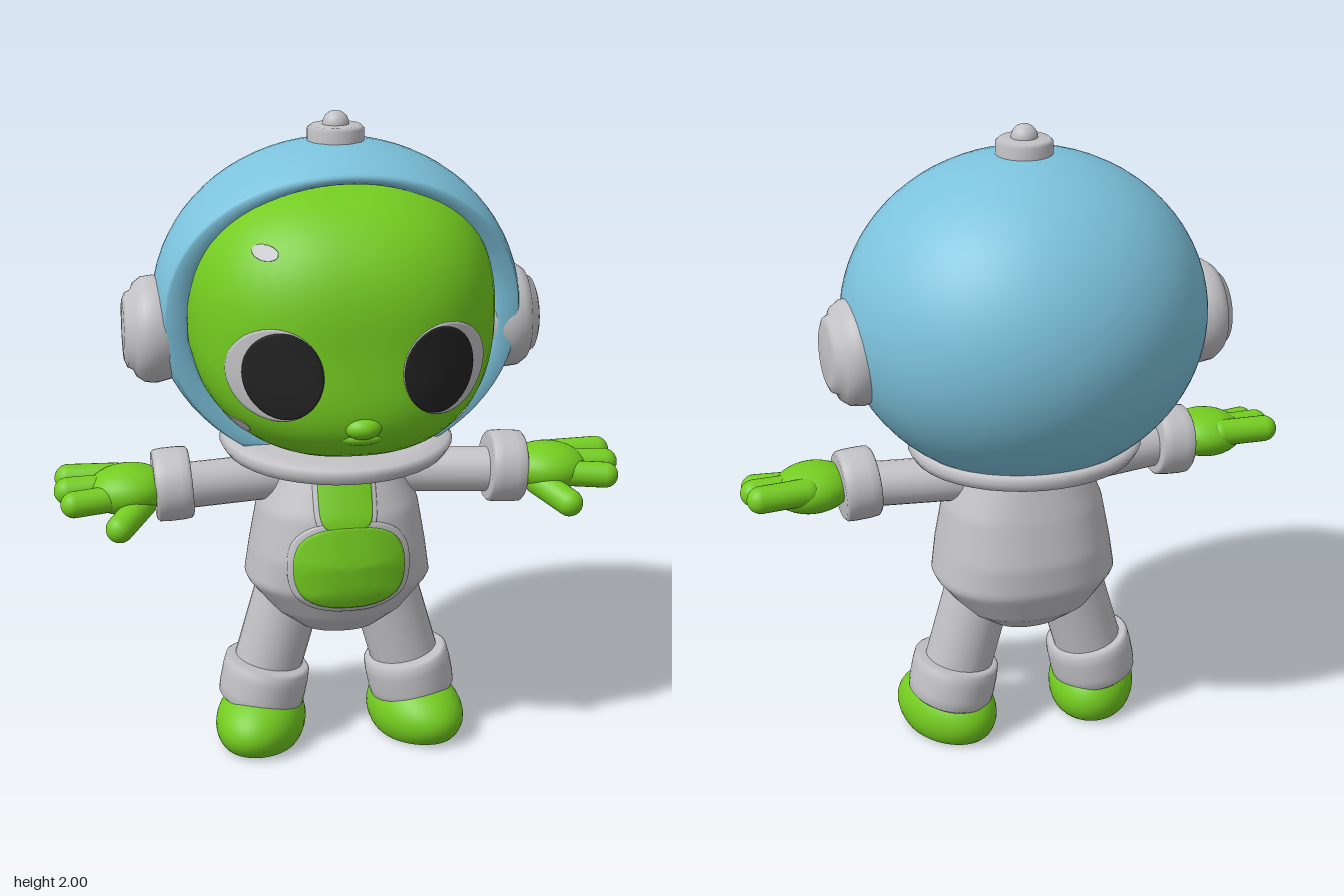
import * as THREE from 'three';
import { mergeVertices } from 'three/addons/utils/BufferGeometryUtils.js';

const mat = (name, color) => new THREE.MeshStandardMaterial({ name, color });
const green = mat('skin green', 0x74cc20);
const blue = mat('helmet blue', 0x7cc2dc);
const grey = mat('suit grey', 0xc2c2c6);
const black = mat('eye black', 0x222222);

// Weld seams and recompute smooth normals
function smooth(geo) {
  geo.deleteAttribute('normal');
  geo.deleteAttribute('uv');
  const g = mergeVertices(geo, 1e-5);
  g.computeVertexNormals();
  return g;
}

// Closed surface through a list of rings with equal point counts
function loft(rings) {
  const n = rings[0].length, pos = rings.flat(2), idx = [];
  for (let i = 0; i < rings.length - 1; i++) {
    for (let j = 0; j < n; j++) {
      const k = (j + 1) % n, a = i * n + j, b = a + n, c = i * n + k, d = c + n;
      idx.push(a, b, c, b, d, c);
    }
  }
  const g = new THREE.BufferGeometry();
  g.setAttribute('position', new THREE.Float32BufferAttribute(pos, 3));
  g.setIndex(idx);
  return smooth(g);
}

const ring = (n, fn) => Array.from({ length: n }, (_, i) => fn((i / n) * Math.PI * 2));
const spow = (v, e) => Math.sign(v) * Math.abs(v) ** e;
const lathe = (pts) => new THREE.LatheGeometry(pts.map(([x, y]) => new THREE.Vector2(x, y)), 40);

// Head: a squarish ellipsoid with a fuller lower face
const HEAD = { y: 1.425, z: 0.05, rx: 0.46, ry: 0.41, rz: 0.45, e: 2.4 };
const chin = (v) => 0.2 * Math.max(0, -v) ** 2;
function headZ(x, y) {
  const v = (y - HEAD.y) / HEAD.ry;
  const rem = Math.max(0, 1 - Math.abs(x / HEAD.rx) ** HEAD.e - Math.abs(v) ** HEAD.e);
  return HEAD.z + rem ** (1 / HEAD.e) * (HEAD.rz + chin(v));
}
function headGeometry() {
  const g = new THREE.SphereGeometry(1, 56, 40), p = g.attributes.position;
  for (let i = 0; i < p.count; i++) {
    const c = [p.getX(i), p.getY(i), p.getZ(i)];
    const k = c.reduce((t, q) => t + Math.abs(q) ** HEAD.e, 0) ** (-1 / HEAD.e);
    const [x, y, z] = c.map((q) => q * k);
    p.setXYZ(i, x * HEAD.rx, HEAD.y + y * HEAD.ry, HEAD.z + z * (HEAD.rz + (z > 0 ? chin(y) : 0)));
  }
  return smooth(g);
}

// Torso: stations of [y, half width, front z, back z]
const TORSO = [
  [0.37, 0.02, 0.05, -0.04], [0.40, 0.13, 0.15, -0.11], [0.46, 0.21, 0.21, -0.18], [0.56, 0.29, 0.255, -0.22],
  [0.66, 0.275, 0.265, -0.22], [0.80, 0.25, 0.24, -0.19], [0.94, 0.19, 0.18, -0.15], [1.0, 0.15, 0.13, -0.12],
];
function torsoAt(y) {
  let i = 0;
  while (i < TORSO.length - 2 && y > TORSO[i + 1][0]) i++;
  const a = TORSO[i], b = TORSO[i + 1], t = (y - a[0]) / (b[0] - a[0]);
  const [, rx, zf, zb] = a.map((v, k) => v + (b[k] - v) * t);
  return { rx, rz: (zf - zb) / 2, cz: (zf + zb) / 2 };
}
function torsoZ(x, y) {
  const s = torsoAt(y);
  return s.cz + s.rz * Math.max(0, 1 - Math.abs(x / s.rx) ** 2.3) ** (1 / 2.3);
}

// Thin plate with a rounded outline that hugs a surface z = surf(x, y)
function patch(cx, cy, rx, ry, surf, lift, e = 2) {
  const rows = [0, 0.2, 0.4, 0.6, 0.8, 0.95, 1, 1].map((k, i) => ring(48, (a) => {
    const x = cx + k * rx * spow(Math.cos(a), 2 / e), y = cy + k * ry * spow(Math.sin(a), 2 / e);
    return [x, y, surf(x, y) + (i === 7 ? -0.005 : lift)];
  }));
  return loft(rows);
}

// Helmet shell: inner lip, rim, then back around to the rear pole
function helmetGeometry() {
  const cy = 1.42, edge = (s) => Math.acos((0.15 + (s > 0 ? 0.1 * s * s : 0.03 * s)) / 0.52);
  const shell = (a, t, k = 1, dz = 0) => {
    const s = Math.sin(a), th = edge(s) + (Math.PI - edge(s)) * t;
    return [0.555 * Math.sin(th) * Math.cos(a) * k,
      Math.max(k < 1 ? 1.02 : 1.0, cy + 0.5 * Math.sin(th) * s * k), 0.52 * Math.cos(th) + dz];
  };
  const inner = (a) => 0.87 + 0.06 * Math.max(0, Math.sin(a)) ** 2;
  const rows = [
    ring(72, (a) => shell(a, 0, inner(a), -0.07)),
    ring(72, (a) => shell(a, 0, inner(a), -0.01)),
    ring(72, (a) => shell(a, 0, inner(a) + 0.025, 0.008)),
    ring(72, (a) => shell(a, 0, 0.985, 0.008)),
  ];
  for (let i = 0; i <= 28; i++) rows.push(ring(72, (a) => shell(a, i / 28)));
  return loft(rows);
}

export function createModel() {
  const model = new THREE.Group();
  model.name = 'spacesuitFigure';
  const add = (name, geo, material, pos = [0, 0, 0], rot = [0, 0, 0], scale = [1, 1, 1]) => {
    const m = new THREE.Mesh(geo, material);
    m.name = name;
    m.position.set(...pos);
    m.rotation.set(...rot);
    m.scale.set(...scale);
    model.add(m);
    return m;
  };
  const ball = new THREE.SphereGeometry(1, 28, 20);
  // Rounded bar between two points
  const bar = (name, a, b, r, material) => {
    const p = new THREE.Vector3(...a), q = new THREE.Vector3(...b), d = q.clone().sub(p);
    const m = add(name, new THREE.CapsuleGeometry(r, d.length(), 8, 24), material, p.clone().lerp(q, 0.5).toArray());
    m.quaternion.setFromUnitVectors(new THREE.Vector3(0, 1, 0), d.normalize());
    return m;
  };

  // Head and face
  add('head', headGeometry(), green);
  add('nose', ball, green, [0, 1.18, 0.485], [0, 0, 0], [0.055, 0.035, 0.045]);
  add('upperLip', ball, green, [0, 1.145, 0.46], [0, 0, 0], [0.075, 0.025, 0.04]);
  for (const s of [1, -1]) {
    add('eyeWhite', patch(s * 0.245, 1.335, 0.132, 0.135, headZ, 0.005), grey);
    add('eyePupil', patch(s * 0.225, 1.335, 0.11, 0.126, headZ, 0.009), black);
    add('cheekSpot', patch(s * 0.335, 1.14, 0.03, 0.027, headZ, 0.008), grey);
  }
  add('foreheadMark', patch(-0.26, 1.67, 0.035, 0.02, headZ, 0.004), grey);

  // Helmet, collar and top knob
  add('helmet', helmetGeometry(), blue);
  add('collar', lathe([[0.02, 0.0], [0.18, -0.02], [0.28, -0.025], [0.345, 0.0], [0.36, 0.025], [0.35, 0.045], [0.3, 0.055], [0.0, 0.055]]),
    grey, [0, 0.972, 0.0], [0.05, 0, 0]);
  add('knobBase', lathe([[0.085, -0.03], [0.085, 0.03], [0.075, 0.04], [0, 0.045]]), grey, [0, 1.918, 0]);
  add('knob', new THREE.CapsuleGeometry(0.04, 0.03, 8, 24), grey, [0, 1.945, 0]);

  // Torso with chest and belly panels
  const rows = [];
  for (let i = 0; i <= 42; i++) {
    const y = 0.37 + 0.015 * i, t = torsoAt(y);
    rows.push(ring(56, (a) => [t.rx * spow(Math.cos(a), 2 / 2.3), y, t.cz + t.rz * spow(Math.sin(a), 2 / 2.3)]));
  }
  add('torso', loft(rows), grey);
  add('torsoBase', ball, grey, [0, 0.39, 0.01], [0, 0, 0], [0.07, 0.02, 0.08]);
  add('chestBorder', patch(-0.005, 0.87, 0.097, 0.115, torsoZ, 0.004, 4), grey);
  add('chestPanel', patch(-0.005, 0.87, 0.082, 0.1, torsoZ, 0.008, 4), green);
  add('bellyBorder', patch(0.005, 0.65, 0.19, 0.147, torsoZ, 0.006, 2.6), grey);
  add('bellyPanel', patch(0.005, 0.65, 0.172, 0.131, torsoZ, 0.0095, 2.6), green);

  // Shared shapes for the paired parts
  const earcup = lathe([[0.14, -0.06], [0.155, 0], [0.162, 0.03], [0.158, 0.065], [0.14, 0.09], [0.12, 0.098], [0.112, 0.115], [0.09, 0.124], [0, 0.128]]);
  const cuff = (r, h) => lathe([[0, -h], [r * 0.9, -h], [r * 0.98, -h * 0.85], [r, -h * 0.4], [r, h * 0.4], [r * 0.98, h * 0.85], [r * 0.9, h], [0, h]]);
  const armCuff = cuff(0.112, 0.056), legCuff = cuff(0.137, 0.07);
  const foot = new THREE.SphereGeometry(1, 36, 28), fp = foot.attributes.position;
  for (let i = 0; i < fp.count; i++) {
    const z = fp.getZ(i), x = fp.getX(i);
    const y = 0.07 + fp.getY(i) * (z > 0 ? 0.13 - 0.02 * z : 0.13);
    fp.setXYZ(i, x * 0.14, Math.max(0.005 * (x * x + z * z), y), z * 0.195);
  }
  const footGeo = smooth(foot);

  for (const s of [1, -1]) {
    add('earcup', earcup, grey, [s * (s > 0 ? 0.49 : 0.52), 1.36, 0], [0, 0, -s * Math.PI / 2]);

    // Arm, sleeve cuff and hand
    bar('arm', [s * 0.17, 0.885, 0.03], [s * 0.48, 0.885, 0.08], 0.07, grey);
    add('armCuff', armCuff, grey, [s * 0.515, 0.893, 0.08], [0, 0, -s * (Math.PI / 2 + 0.06)]);
    add('palm', ball, green, [s * 0.65, 0.893, 0.1], [0, 0, -s * 0.05], [0.125, 0.075, 0.11]);
    bar('finger', [s * 0.68, 0.91, 0.035], [s * 0.825, 0.91, 0.025], 0.042, green);
    bar('finger', [s * 0.68, 0.9, 0.1], [s * 0.83, 0.897, 0.105], 0.042, green);
    bar('finger', [s * 0.67, 0.885, 0.15], [s * 0.815, 0.88, 0.18], 0.04, green);
    bar('thumb', [s * 0.61, 0.86, 0.15], [s * 0.685, 0.82, 0.245], 0.042, green);

    // Leg, trouser cuff and foot
    bar('leg', [s * 0.15, 0.5, 0.01], [s * 0.235, 0.2, 0.01], 0.108, grey);
    add('legCuff', legCuff, grey, [s * 0.235, 0.195, 0.02], [0, 0, s * 0.2], [1, 1, 1.1]);
    add('foot', footGeo, green, [s * 0.25, 0, 0.05], [0, s * 0.35, 0]);
  }
  return model;
}
